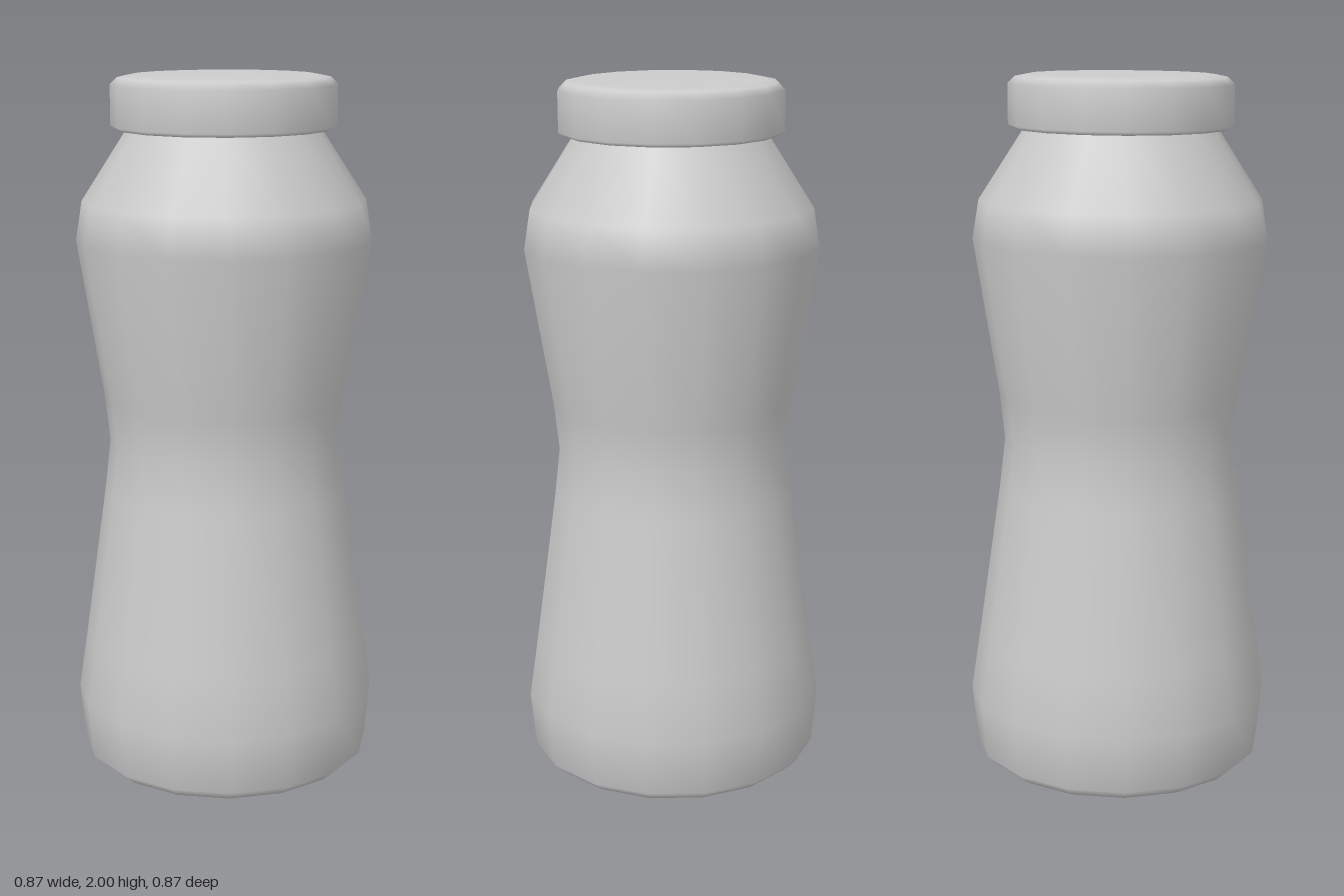
import * as THREE from 'three';

const SIDES = 16;

// Turns a [radius, height] profile, listed bottom to top, into a smooth solid
function lathe(name, profile, material) {
  const points = profile.map(([r, y]) => new THREE.Vector2(r, y));
  const mesh = new THREE.Mesh(new THREE.LatheGeometry(points, SIDES), material);
  mesh.name = name;
  return mesh;
}

export function createModel() {
  const material = new THREE.MeshStandardMaterial({ color: 0xcccccc, side: THREE.DoubleSide });
  const bottle = new THREE.Group();
  bottle.name = 'bottle';

  // Waisted body: flat base, rounded foot, pinched middle, sloping shoulder
  bottle.add(lathe('body', [
    [0, 0.004], [0.34, 0.004], [0.385, 0.008], [0.42, 0.04], [0.435, 0.2],
    [0.41, 0.37], [0.347, 0.82], [0.331, 0.96], [0.345, 1.09],
    [0.418, 1.54], [0.4, 1.65], [0.274, 1.845], [0.26, 1.9],
  ], material));

  // Wide lid with a softened upper rim
  bottle.add(lathe('lid', [
    [0.24, 1.85], [0.3, 1.848], [0.316, 1.858], [0.316, 1.97],
    [0.296, 1.99], [0.26, 1.997], [0, 1.998],
  ], material));

  // The bottle leans forward very slightly
  bottle.rotation.x = 0.006;
  bottle.position.z = -0.002;

  const model = new THREE.Group();
  model.add(bottle);
  return model;
}
